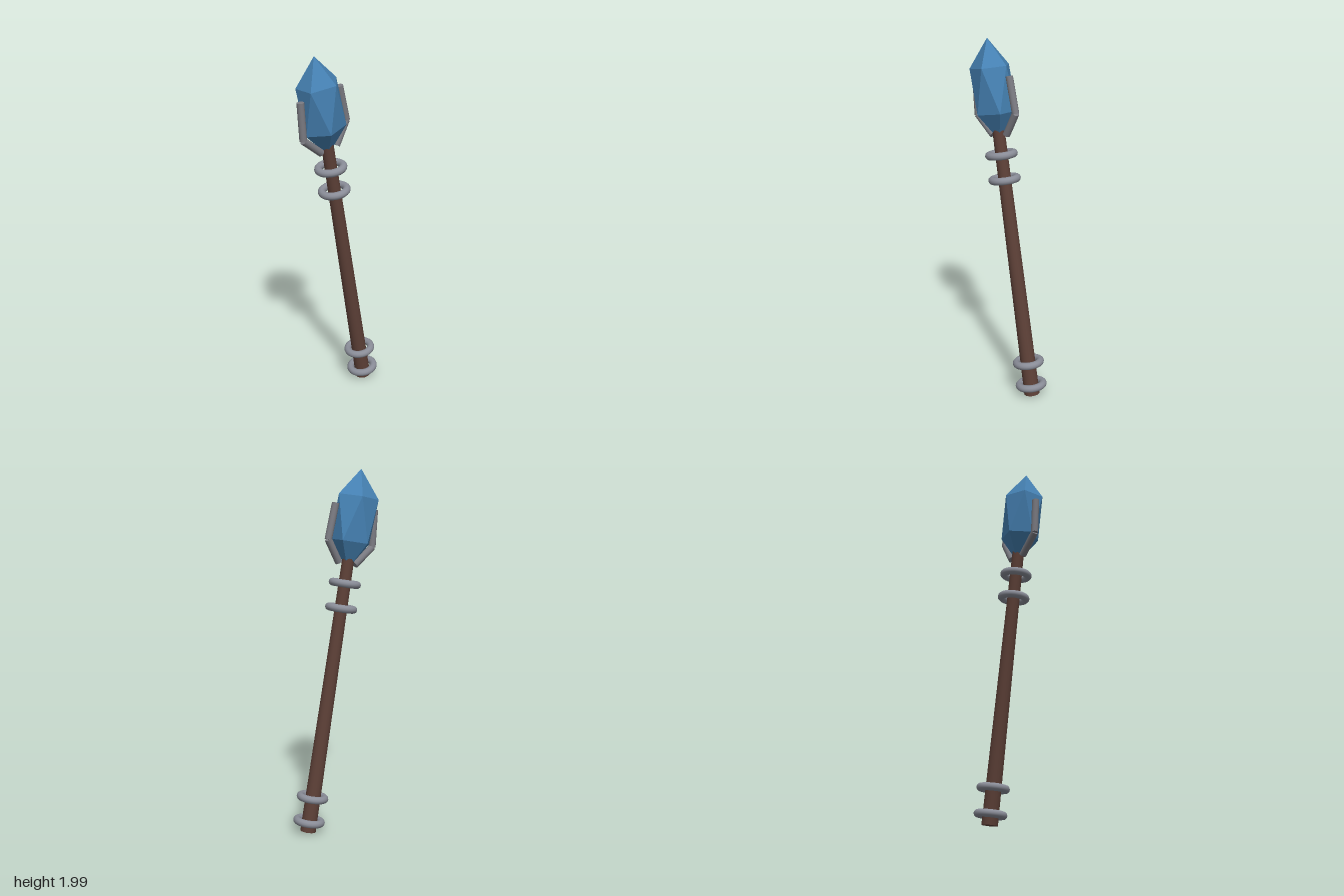
import * as THREE from 'three';

const UP = new THREE.Vector3(0, 1, 0);
const P = (x, y) => new THREE.Vector3(x, y, 0);

function material(name, color, flatShading = false) {
  const m = new THREE.MeshStandardMaterial({ color, flatShading });
  m.name = name;
  return m;
}

// Cylinder running from point a to point b
function rod(name, a, b, rA, rB, sides, mat) {
  const d = b.clone().sub(a);
  const mesh = new THREE.Mesh(new THREE.CylinderGeometry(rB, rA, d.length(), sides), mat);
  mesh.position.copy(a).add(b).multiplyScalar(0.5);
  mesh.quaternion.setFromUnitVectors(UP, d.normalize());
  mesh.name = name;
  return mesh;
}

export function createModel() {
  const wood = material('dark wood', 0x5d4037);
  const metal = material('ring metal', 0x8a8d98);
  const clawMetal = material('claw metal', 0x7b7b82);
  const gem = material('blue crystal', 0x4682b4, true);
  const staff = new THREE.Group();
  staff.name = 'staff';

  // Leaning tapered shaft
  const foot = P(0.19, 0.012), head = P(-0.083, 1.53);
  staff.add(rod('shaft', foot, head, 0.044, 0.033, 16, wood));

  // Rings around the shaft
  const axis = head.clone().sub(foot).normalize();
  const ringGeo = new THREE.TorusGeometry(0.068, 0.021, 12, 36).rotateX(Math.PI / 2);
  [[0.183, 0.069], [0.159, 0.204], [-0.034, 1.252], [-0.058, 1.386]].forEach(([x, y], i) => {
    const ring = new THREE.Mesh(ringGeo, metal);
    ring.name = 'ring' + (i + 1);
    ring.position.set(x, y, 0);
    ring.quaternion.setFromUnitVectors(UP, axis);
    staff.add(ring);
  });

  // Stretched, slanted icosahedron crystal
  const slant = new THREE.Matrix4().makeBasis(
    new THREE.Vector3(0.139, -0.121, 0),
    new THREE.Vector3(0.032, 0.241, 0),
    new THREE.Vector3(0, 0, 0.1165)
  ).setPosition(-0.12, 1.73, 0);
  const crystal = new THREE.Mesh(new THREE.IcosahedronGeometry(1, 0).applyMatrix4(slant), gem);
  crystal.name = 'crystal';
  staff.add(crystal);

  // Bent two-piece claws on either side of the crystal
  const claws = {
    rightClaw: [P(-0.123, 1.483), P(-0.241, 1.573), P(-0.256, 1.777)],
    leftClaw: [P(-0.018, 1.503), P(0.05, 1.63), P(0.002, 1.822)],
  };
  for (const [name, [base, elbow, tip]] of Object.entries(claws)) {
    const claw = new THREE.Group();
    claw.name = name;
    claw.add(rod('lowerClaw', base, elbow, 0.02, 0.02, 12, clawMetal));
    claw.add(rod('upperClaw', elbow, tip, 0.02, 0.02, 12, clawMetal));
    staff.add(claw);
  }
  return staff;
}
